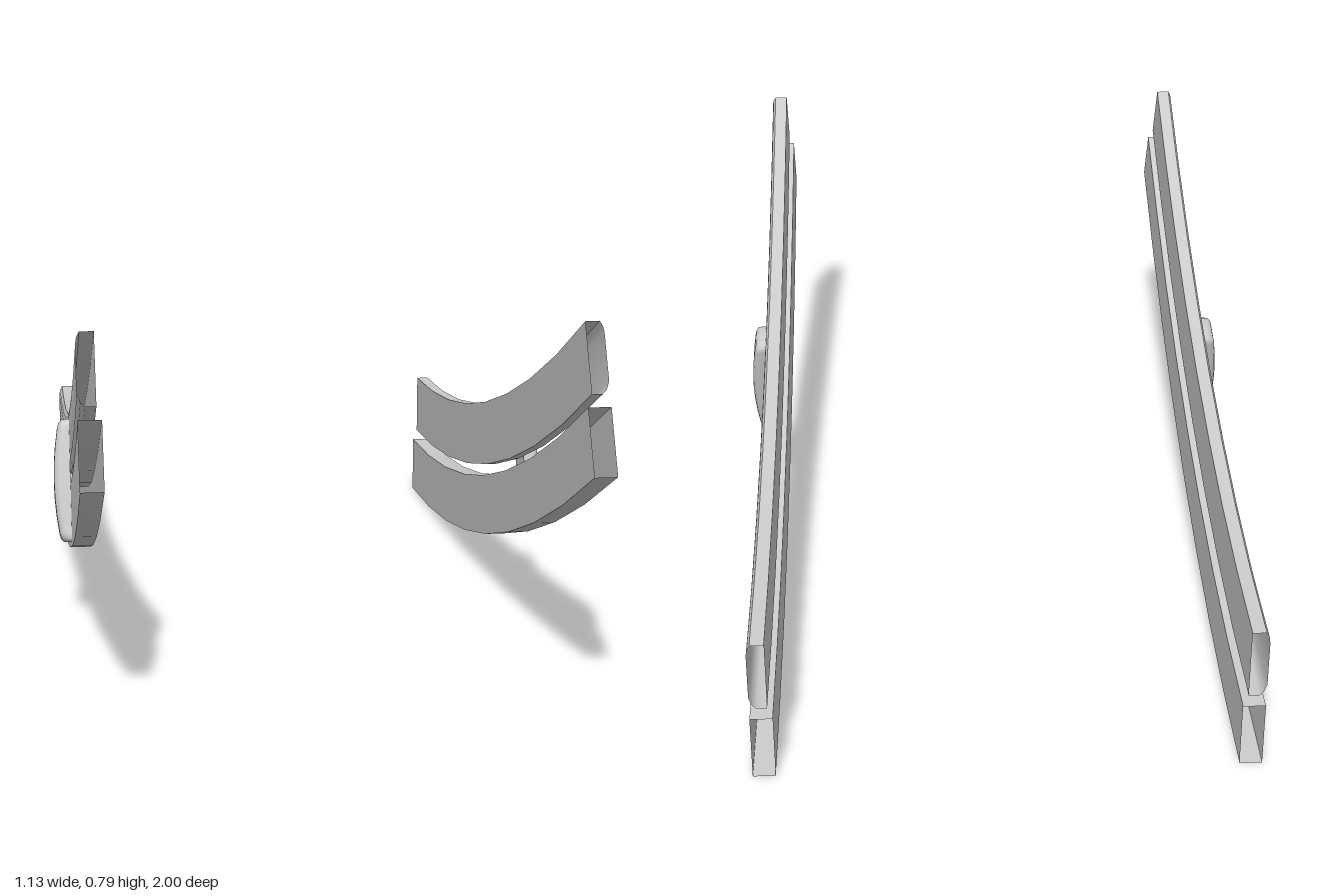
import * as THREE from 'three';
import { toCreasedNormals } from 'three/addons/utils/BufferGeometryUtils.js';

const material = new THREE.MeshStandardMaterial({ color: 0xcccccc, side: THREE.DoubleSide });

// Skin a row of closed rings of [x, y, z] points; side -1 mirrors the result in x
function loft(rings, side, capped, crease) {
  const n = rings[0].length;
  const positions = [];
  const index = [];
  const tri = (a, b, c) => (side > 0 ? index.push(a, b, c) : index.push(a, c, b));
  for (const ring of rings) for (const [x, y, z] of ring) positions.push(side * x, y, z);
  for (let r = 0; r < rings.length - 1; r++) {
    for (let i = 0; i < n; i++) {
      const a = r * n + i, b = r * n + (i + 1) % n;
      tri(a, b, b + n);
      tri(a, b + n, a + n);
    }
  }
  if (capped) {
    const last = (rings.length - 1) * n;
    for (let i = 1; i < n - 1; i++) {
      tri(0, i + 1, i);
      tri(last, last + i, last + i + 1);
    }
  }
  const geometry = new THREE.BufferGeometry();
  geometry.setAttribute('position', new THREE.Float32BufferAttribute(positions, 3));
  geometry.setIndex(index);
  return toCreasedNormals(geometry, crease);
}

// Open-ended slat: a section of [x, height] swept square to a parabola
function slat(section, side) {
  const steps = 8;
  const rings = [];
  for (let i = 0; i <= steps; i++) {
    const z = -1 + 2 * i / steps;
    const y = 0.126 * (z + 1) ** 2;
    const slope = 0.252 * (z + 1);
    const len = Math.hypot(1, slope);
    rings.push(section.map(([x, h]) => [x, y + h / len, z - h * slope / len]));
  }
  return loft(rings, side, false, 0.9);
}

// Bowed clip with rounded edges; rows are [y, half width, depth]
function clip(side) {
  const rows = [[-0.14, 0.033, 0.016], [-0.132, 0.0425, 0.024]];
  for (let i = -3; i <= 3; i++) rows.push([i * 0.04, 0.0425, 0.037 - 0.01 * (i / 3) ** 2]);
  rows.push([0.132, 0.0425, 0.024], [0.14, 0.033, 0.016]);
  const rings = rows.map(([y, w, d]) => [
    [0, y, -w], [0, y, w], [d - 0.012, y, w], [d - 0.003, y, w - 0.005], [d, y, w - 0.014],
    [d, y, -w + 0.014], [d - 0.003, y, -w + 0.005], [d - 0.012, y, -w],
  ]);
  return loft(rings, side, true, 1.0);
}

const lowerSection = [[0.48, 0], [0.527, 0], [0.527, 0.143], [0.48, 0.143]];
// Upper slat is softened along its outer edges
const upperSection = [
  [0.49, 0.17], [0.512, 0.17], [0.521, 0.179], [0.527, 0.197],
  [0.527, 0.297], [0.525, 0.311], [0.519, 0.322], [0.49, 0.322],
];

export function createModel() {
  const model = new THREE.Group();
  model.name = 'curvedRails';
  for (const side of [1, -1]) {
    const rail = new THREE.Group();
    rail.name = side > 0 ? 'leftRail' : 'rightRail';
    const add = (name, geometry) => {
      const mesh = new THREE.Mesh(geometry, material);
      mesh.name = name;
      rail.add(mesh);
      return mesh;
    };
    add('lowerSlat', slat(lowerSection, side));
    add('upperSlat', slat(upperSection, side));
    const bracket = add('clip', clip(side));
    bracket.position.set(side * 0.527, 0.325, 0.152);
    bracket.rotation.x = -0.27;
    model.add(rail);
  }
  return model;
}
